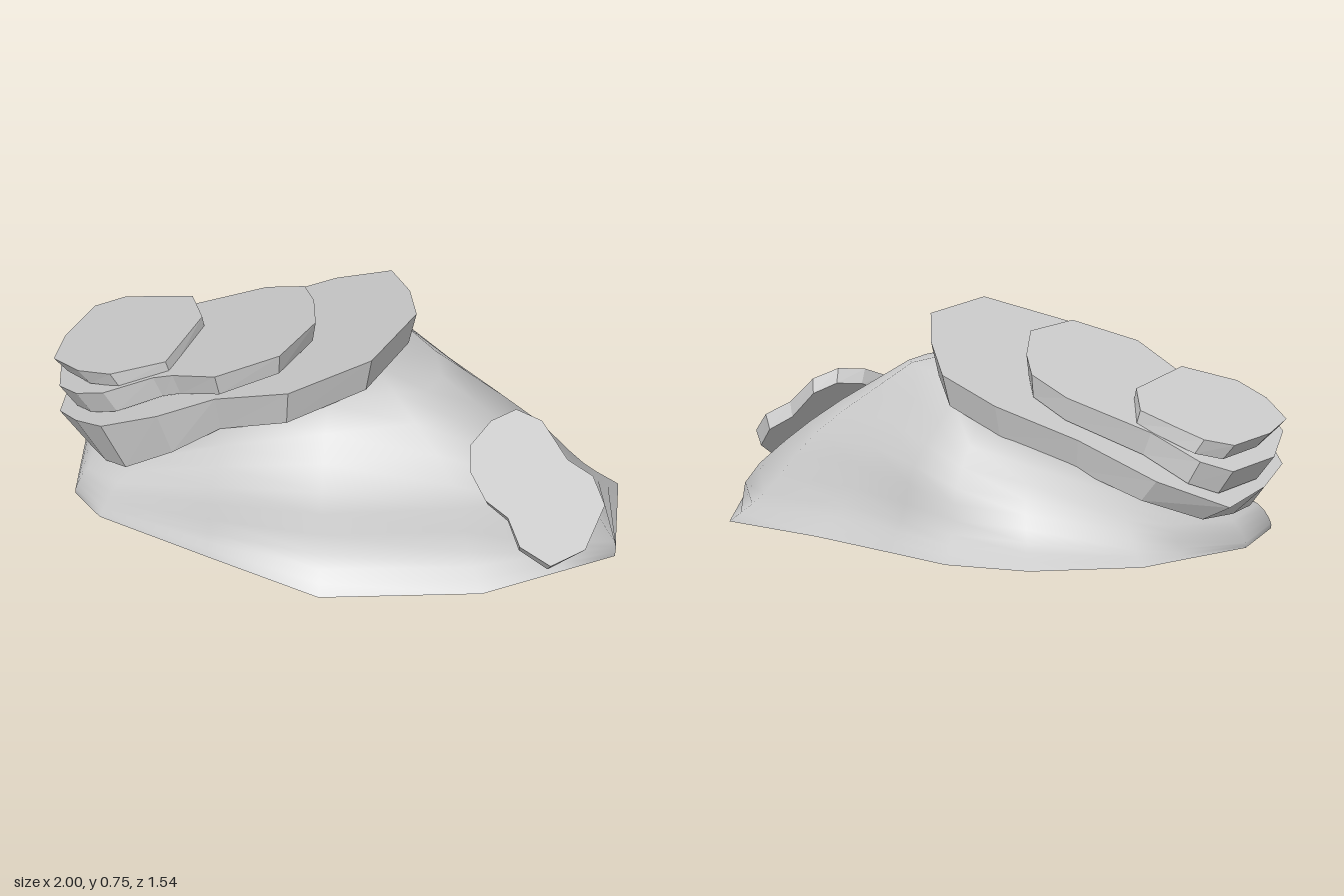
import * as THREE from 'three';

const grey = () => new THREE.MeshStandardMaterial({ color: 0xcccccc, side: THREE.DoubleSide });

// Flat-faced slab: outline of top points [x, y, z]; under() gives the matching bottom point
function slab(name, top, under) {
  const flat = top.map(([x, , z]) => new THREE.Vector2(x, z));
  const bottom = top.map(under);
  const pos = [];
  const add = (...pts) => pts.forEach((p) => pos.push(...p));
  const turn = THREE.ShapeUtils.area(flat) > 0;
  for (const tri of THREE.ShapeUtils.triangulateShape(flat, [])) {
    let [a, b, c] = tri;
    if (THREE.ShapeUtils.area([flat[a], flat[b], flat[c]]) > 0) [b, c] = [c, b];
    add(top[a], top[b], top[c]);
    add(bottom[a], bottom[c], bottom[b]);
  }
  top.forEach((p, i) => {
    const j = (i + 1) % top.length;
    const [a, b] = turn ? [i, j] : [j, i];
    add(top[a], top[b], bottom[b], top[a], bottom[b], bottom[a]);
  });
  const geo = new THREE.BufferGeometry();
  geo.setAttribute('position', new THREE.Float32BufferAttribute(pos, 3));
  geo.computeVertexNormals();
  const mesh = new THREE.Mesh(geo, grey());
  mesh.name = name;
  return mesh;
}

// Lay an x/z outline on the plane y = a + bx + cz
const onPlane = (outline, a, b, c) => outline.map(([x, z]) => [x, a + b * x + c * z, z]);

// Hollow mound: each column runs from base through a flared foot and the flank to the crown
function mound() {
  const columns = [
    // base x, z   flare  flank x, y, z    crown x, y, z
    [-0.74, -0.43, 0.4, -0.69, 0.11, -0.37, -0.58, 0.20, -0.28],
    [-0.64, -0.61, 0.5, -0.55, 0.14, -0.48, -0.45, 0.27, -0.36],
    [-0.27, -0.775, 0.6, -0.21, 0.21, -0.555, -0.20, 0.36, -0.40],
    [0.04, -0.71, 0.6, 0.04, 0.24, -0.54, 0.00, 0.44, -0.38],
    [0.30, -0.50, 0.55, 0.22, 0.29, -0.41, 0.11, 0.50, -0.28],
    [0.60, -0.26, 0.5, 0.42, 0.31, -0.18, 0.20, 0.56, -0.11],
    [0.96, -0.03, 0.4, 0.67, 0.31, 0.04, 0.33, 0.57, 0.05],
    [1.00, 0.40, 0, 0.74, 0.31, 0.28, 0.37, 0.555, 0.18],
    [0.84, 0.505, 0.3, 0.67, 0.31, 0.42, 0.33, 0.56, 0.28],
    [0.57, 0.68, 0.5, 0.45, 0.33, 0.51, 0.22, 0.58, 0.33],
    [0.01, 0.77, 0.55, 0.00, 0.32, 0.59, 0.00, 0.56, 0.40],
    [-0.40, 0.575, 0.4, -0.40, 0.23, 0.48, -0.35, 0.41, 0.35],
    [-0.80, 0.38, 0.2, -0.74, 0.12, 0.34, -0.62, 0.23, 0.27],
    [-0.90, 0.25, 0, -0.86, 0.09, 0.22, -0.68, 0.17, 0.15],
    [-0.90, -0.15, 0, -0.85, 0.09, -0.13, -0.67, 0.17, -0.08],
  ];
  const n = columns.length, steps = 9, pos = [], index = [];
  for (const [bx, bz, flare, mx, my, mz, tx, ty, tz] of columns) {
    const base = new THREE.Vector3(bx, 0, bz), flank = new THREE.Vector3(mx, my, mz);
    const foot = base.clone().lerp(flank, flare).setY(my * (0.2 + 0.28 * flare));
    const curve = new THREE.CatmullRomCurve3([base, foot, flank, new THREE.Vector3(tx, ty, tz)]);
    for (let j = 0; j <= steps; j++) pos.push(...curve.getPoint(j / steps).toArray());
  }
  const row = steps + 1, centre = n * row;
  pos.push(0.13, 0.605, 0.2);
  for (let i = 0; i < n; i++) {
    const a = i * row, b = ((i + 1) % n) * row;
    for (let j = 0; j < steps; j++)
      index.push(a + j, a + j + 1, b + j + 1, a + j, b + j + 1, b + j);
    index.push(a + steps, centre, b + steps);
  }
  const geo = new THREE.BufferGeometry();
  geo.setAttribute('position', new THREE.Float32BufferAttribute(pos, 3));
  geo.setIndex(index);
  geo.computeVertexNormals();
  const mesh = new THREE.Mesh(geo, grey());
  mesh.name = 'mound';
  return mesh;
}

export function createModel() {
  const group = new THREE.Group();
  group.name = 'rockMound';
  group.add(mound());

  // Large sloping ledge, thickest at its front low corner and thin at the back
  const large = onPlane([
    [-0.90, -0.40], [-0.65, -0.45], [-0.36, -0.40], [-0.07, -0.42], [0.13, -0.36], [0.22, -0.14],
    [0.27, 0.08], [0.15, 0.39], [-0.13, 0.49], [-0.40, 0.37], [-0.60, 0.39], [-0.80, 0.35],
    [-0.90, 0.24], [-0.97, 0.12], [-0.96, -0.12]], 0.618, 0.4, 0.185);
  group.add(slab('largeLedge', large, ([x, y, z]) => [
    -0.3 + (x + 0.3) * (x < -0.3 ? 0.83 : 0.95),
    y - 0.125 - 0.04 * z - 0.3 * z * Math.max(0, -0.4 - x),
    z * 0.94]));

  // Middle ledge
  const middle = onPlane([
    [-0.90, -0.35], [-0.79, -0.38], [-0.60, -0.31], [-0.30, -0.31], [-0.16, -0.24], [-0.11, -0.10],
    [-0.08, 0.10], [-0.18, 0.32], [-0.40, 0.37], [-0.56, 0.27], [-0.63, 0.25], [-0.80, 0.28],
    [-0.90, 0.23], [-0.97, 0.13], [-0.99, -0.10]], 0.70, 0.37, 0.185);
  group.add(slab('middleLedge', middle, ([x, y, z]) => [0.92 * x - 0.017, y - 0.08, z * 0.97]));

  // Small top ledge
  const small = onPlane([
    [-0.90, -0.325], [-0.80, -0.36], [-0.70, -0.33], [-0.555, -0.28], [-0.50, -0.10],
    [-0.59, 0.22], [-0.78, 0.25], [-0.90, 0.18], [-1.00, 0.05], [-0.98, -0.12]], 0.69, 0.275, 0.16);
  group.add(slab('smallLedge', small, ([x, y, z]) => [0.92 * x - 0.03, y - 0.05, z]));

  // Leaning slab on the front left flank, outlined in x/y
  const leaning = [
    [0.50, 0.45], [0.56, 0.49], [0.64, 0.50], [0.73, 0.46], [0.83, 0.36], [0.92, 0.31], [0.97, 0.24],
    [0.92, 0.155], [0.81, 0.14], [0.70, 0.20], [0.65, 0.27], [0.57, 0.32], [0.51, 0.39],
  ].map(([x, y]) => [x, y, 1.4 - 0.632 * x - 1.456 * y]);
  group.add(slab('leaningSlab', leaning, ([x, y, z]) => [0.71 + (x - 0.72) * 0.93, y - 0.045, z - 0.045]));

  return group;
}
